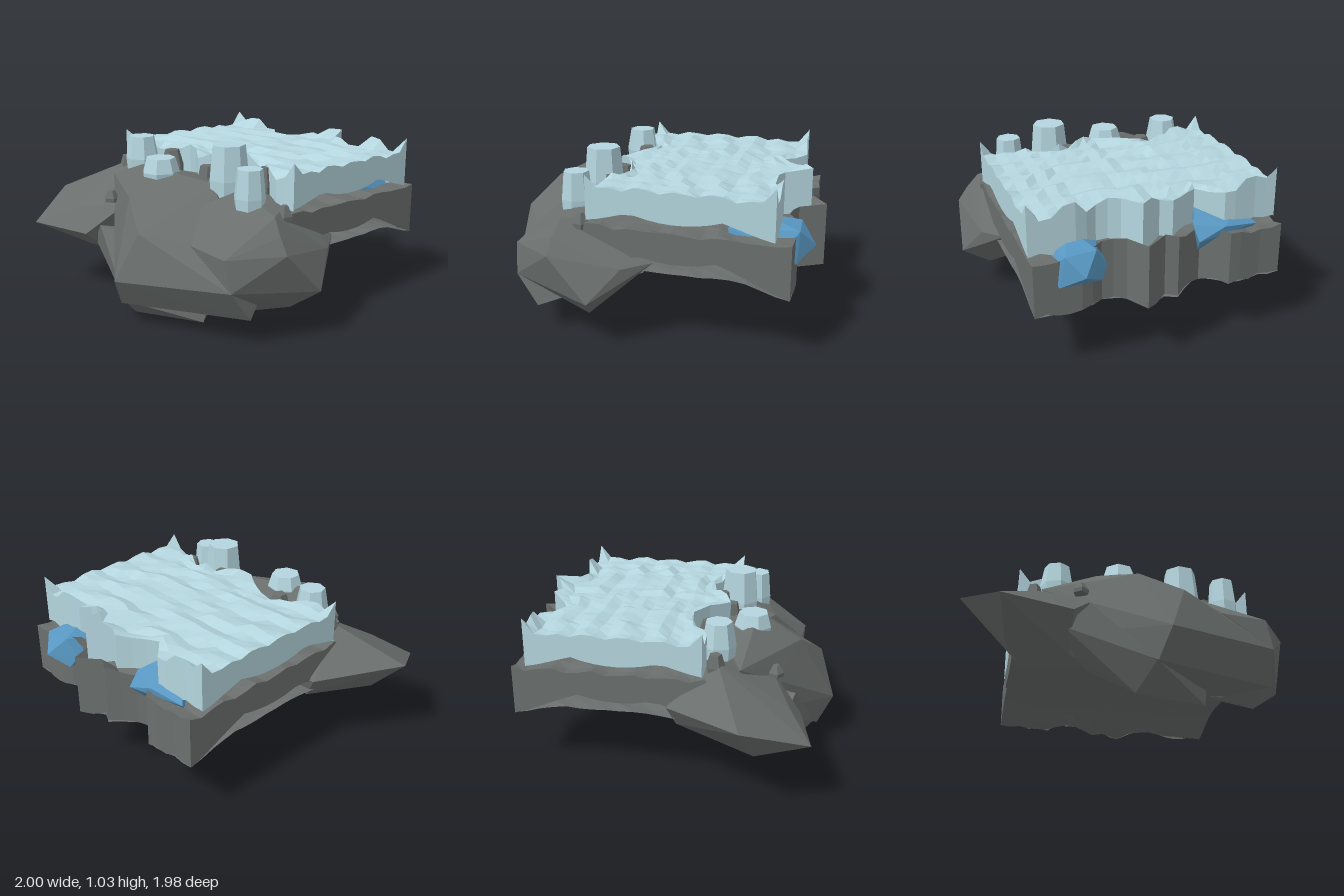
import * as THREE from 'three';
import { ConvexGeometry } from 'three/addons/geometries/ConvexGeometry.js';

const mat = (name, color) =>
  new THREE.MeshStandardMaterial({ name, color, flatShading: true, side: THREE.DoubleSide });
const lerp = THREE.MathUtils.lerp;

// Repeatable noise in -1..1
const hash = (i, j, k = 0) => {
  const s = Math.sin(i * 127.1 + j * 311.7 + k * 74.7) * 43758.5453;
  return (s - Math.floor(s)) * 2 - 1;
};

// Piecewise linear curve through [t, value] pairs
const curve = (pts) => (t) => {
  for (let i = 1; i < pts.length; i++) {
    const [a, u] = pts[i - 1], [b, w] = pts[i];
    if (t <= b) return lerp(u, w, Math.max(0, (t - a) / (b - a)));
  }
  return pts[pts.length - 1][1];
};

// Grid surface from a rule (i, j) -> [x, y, z]
function grid(nx, nz, rule) {
  const pos = [], index = [];
  for (let j = 0; j <= nz; j++) for (let i = 0; i <= nx; i++) pos.push(...rule(i, j));
  for (let j = 0; j < nz; j++) for (let i = 0; i < nx; i++) {
    const a = j * (nx + 1) + i, b = a + 1, c = a + nx + 1, d = c + 1;
    index.push(a, d, b, a, c, d);
  }
  const g = new THREE.BufferGeometry();
  g.setAttribute('position', new THREE.Float32BufferAttribute(pos, 3));
  g.setIndex(index);
  const flat = g.toNonIndexed();
  flat.computeVertexNormals();
  return flat;
}

const X0 = -0.65, X1 = 0.83, NX = 22, NZ = 15;
const xAt = (i) => lerp(X0, X1, i / NX);

// Zigzag of the broken rear edge and of the front edge
const rearJag = curve([[-0.65, 0], [-0.52, 0], [-0.32, -0.03], [-0.18, 0.1], [-0.08, 0.04], [0.02, -0.06],
  [0.1, -0.02], [0.22, -0.13], [0.3, 0.05], [0.42, 0.07], [0.52, 0], [0.83, 0]]);
const frontJag = curve([[-0.65, 0], [-0.5, 0], [-0.38, -0.06], [-0.2, -0.16], [-0.05, -0.08], [0.1, 0.04],
  [0.25, -0.08], [0.4, -0.14], [0.6, -0.05], [0.7, 0], [0.83, 0]]);

// A layer: rippled top, sagging underside, arched side skirts and a jagged wall at each end
function layer(name, material, o) {
  const group = new THREE.Group();
  group.name = name;
  const add = (part, geometry) => {
    const m = new THREE.Mesh(geometry, material);
    m.name = name + part;
    group.add(m);
  };
  const top = (i, j) => {
    const x = xAt(i), v = j / NZ;
    const z = lerp(o.front, o.rear, v) + rearJag(x) * v ** 8 + frontJag(x) * (1 - v) ** 8;
    const ripple = 0.7 * Math.sin(j * 2.1 + 1.3 * Math.sin(x * 6)) + 0.4 * hash(i, 0, o.seed)
      + 0.6 * hash(i >> 1, j, o.seed);
    let y = o.top(v) + o.ripple * ripple;
    if (j === NZ) y += o.spike * (0.4 + 0.6 * hash(i >> 1, 7, o.seed));
    if (j === 0) y += o.spike * 0.5 * hash(i, 3, o.seed);
    if ((i === 0 || i === NX) && (j === 0 || j === NZ)) y = o.corner;
    return [x, y, z];
  };
  const bottomEnd = (v) => lerp(o.frontBottom, o.rearBottom, v);
  const under = ([x, y, z]) => [x, Math.min(y - 0.01, o.sag + 0.6 * (z + 0.25) ** 2), z];
  add('Top', grid(NX, NZ, top));
  add('Underside', grid(NX, NZ, (i, j) => under(top(i, j))));
  // Each side: an arched skirt, then a strip that closes it to the underside
  for (const [i, part] of [[0, 'RightSkirt'], [NX, 'LeftSkirt']]) {
    add(part, grid(NZ, 2, (j, k) => {
      const p = top(i, j), v = j / NZ;
      if (k === 2) return under(p);
      if (k === 1) p[1] = bottomEnd(v) + o.arch * Math.sin(Math.PI * v) ** 1.3;
      return p;
    }));
  }
  for (const [j, part] of [[0, 'FrontWall'], [NZ, 'RearWall']]) {
    add(part, grid(NX, 1, (i, k) => {
      const p = top(i, j);
      if (k) p[1] = bottomEnd(j / NZ) + 0.015 * hash(i, j, 5);
      return p;
    }));
  }
  if (o.floor) add('Floor', grid(NX, NZ, (i, j) => {
    const p = top(i, j);
    p[1] = o.floor(j / NZ) + 0.006 * hash(i, j, 9);
    return p;
  }));
  return group;
}

export function createModel() {
  const root = new THREE.Group();
  root.name = 'frozenLedge';
  const rock = mat('darkRock', 0x6a6f6d);
  const ice = mat('paleIce', 0xb4d5de);
  const blue = mat('blueCrystal', 0x5897c2);

  const hull = (name, material, pts) => {
    const m = new THREE.Mesh(new ConvexGeometry(pts.map((p) => new THREE.Vector3(...p))), material);
    m.name = name;
    root.add(m);
  };

  // Boulders of the front outcrop
  hull('rightBoulder', rock, [[-1, 0.58, 0.55], [-0.57, 0.55, 0.77], [-0.64, 0.67, 0.52], [-0.79, 0.44, 0.92],
    [-0.73, 0.3, 0.6], [-0.38, 0.43, 0.82], [-0.37, 0.26, 0.6], [-0.58, 0.78, 0.36], [-0.68, 0.52, 0.08],
    [-0.22, 0.62, 0.62], [-0.6, 0.38, 0.12], [-0.15, 0.45, 0.05], [-0.25, 0.78, 0.25]]);
  hull('middleBoulder', rock, [[0.13, 0.3, 0.99], [0.23, 0.58, 0.89], [-0.2, 0.62, 0.7], [0.8, 0.34, 0.73],
    [0.82, 0.16, 0.6], [0.54, 0.1, 0.55], [0.07, 0.13, 0.9], [-0.53, 0.73, 0.48], [-0.2, 0.85, 0.5],
    [0.0, 0.73, 0.77], [0.5, 0.55, 0.72], [-0.36, 0.4, 0.6], [0.34, 0.8, 0.4], [0, 0.35, 0.05],
    [0.5, 0.3, 0.05], [0.1, 0.78, 0.2]]);
  hull('lowerBoulder', rock, [[-0.02, 0, 0.73], [0.42, 0.02, 0.58], [0.44, 0.14, 0.55], [-0.42, 0.37, 0.72],
    [-0.35, 0.25, 0.62], [-0.28, 0.5, 0.78], [0.07, 0.14, 0.88], [0.3, 0.3, 0.2], [-0.2, 0.35, 0.2]]);
  hull('leftBoulder', rock, [[1, 0.28, 0.23], [0.96, 0.53, 0.47], [0.8, 0.34, 0.73], [0.82, 0.15, 0.28],
    [0.54, 0.1, 0.53], [0.76, 0.52, 0.74], [0.9, 0.47, 0.06], [0.9, 0.62, 0.46], [0.5, 0.54, 0.74],
    [0.4, 0.72, 0.56], [0.62, 0.75, 0.02], [0.83, 0.71, 0.43], [0.5, 0.79, 0.35], [0.8, 0.49, -0.1],
    [0.45, 0.34, 0.02]]);

  // Lower rock shelf and upper ice sheet
  root.add(layer('rockShelf', rock, {
    front: 0.37, rear: -0.87, seed: 2, ripple: 0.012, spike: 0.08, corner: 0.67, sag: 0.5,
    top: curve([[0, 0.7], [0.3, 0.68], [0.75, 0.67], [1, 0.65]]),
    frontBottom: 0.41, rearBottom: 0.36, arch: 0.185,
    floor: curve([[0, 0.43], [0.3, 0.45], [0.78, 0.44], [0.93, 0.38], [1, 0.36]]),
  }));
  root.add(layer('iceSheet', ice, {
    front: 0.28, rear: -0.78, seed: 4, ripple: 0.016, spike: 0.06, corner: 0.98, sag: 0.73,
    top: curve([[0, 0.9], [0.25, 0.905], [0.55, 0.905], [0.85, 0.89], [1, 0.89]]),
    frontBottom: 0.72, rearBottom: 0.68, arch: 0.11,
  }));

  // Faceted stump: base and top heights, base and top radii
  const stump = (name, material, sides, [x, z, y0, y1, r0, r1]) => {
    const h = y1 - y0;
    const profile = [[0, 0], [r0 * 0.9, 0], [r0 * 0.96, h * 0.35], [r1, h], [0, h]];
    const m = new THREE.Mesh(
      new THREE.LatheGeometry(profile.map((p) => new THREE.Vector2(...p)), sides), material);
    m.name = name;
    m.position.set(x, y0, z);
    m.rotation.y = x * 4;
    root.add(m);
  };
  for (const s of [[-0.42, 0.33, 0.76, 0.975, 0.11, 0.08], [-0.06, 0.48, 0.78, 0.91, 0.12, 0.09],
    [0.37, 0.33, 0.72, 1.03, 0.125, 0.1], [0.62, 0.41, 0.69, 0.94, 0.095, 0.075]]) stump('iceStump', ice, 7, s);
  // Small stones poking out along the ice edge
  for (const s of [[-0.56, 0.34, 0.72, 0.83, 0.06, 0.035], [-0.23, 0.24, 0.74, 0.9, 0.08, 0.045],
    [0.17, 0.3, 0.74, 0.87, 0.07, 0.05], [0.28, 0.23, 0.74, 0.9, 0.07, 0.04], [0.56, 0.22, 0.74, 0.91, 0.06, 0.03],
    [0.8, 0.32, 0.66, 0.75, 0.05, 0.02], [-0.32, 0.66, 0.62, 0.69, 0.05, 0.02]]) stump('stone', rock, 5, s);

  // Blue crystals wedged between the layers at the rear
  hull('leftCrystal', blue, [[0.57, 0.6, -0.97], [0.41, 0.6, -0.85], [0.45, 0.53, -0.89], [0.48, 0.71, -0.88],
    [0.66, 0.7, -0.89], [0.73, 0.6, -0.82], [0.69, 0.52, -0.88], [0.57, 0.76, -0.66], [0.42, 0.68, -0.7],
    [0.6, 0.49, -0.52], [0.76, 0.49, -0.54], [0.7, 0.7, -0.5], [0.48, 0.6, -0.5]]);
  hull('rightCrystal', blue, [[-0.13, 0.64, -0.87], [-0.3, 0.7, -0.85], [-0.52, 0.67, -0.81], [-0.42, 0.75, -0.72],
    [-0.18, 0.77, -0.68], [-0.12, 0.72, -0.8], [-0.25, 0.73, -0.5], [-0.18, 0.52, -0.75], [-0.35, 0.49, -0.52],
    [-0.47, 0.56, -0.72]]);

  return root;
}
